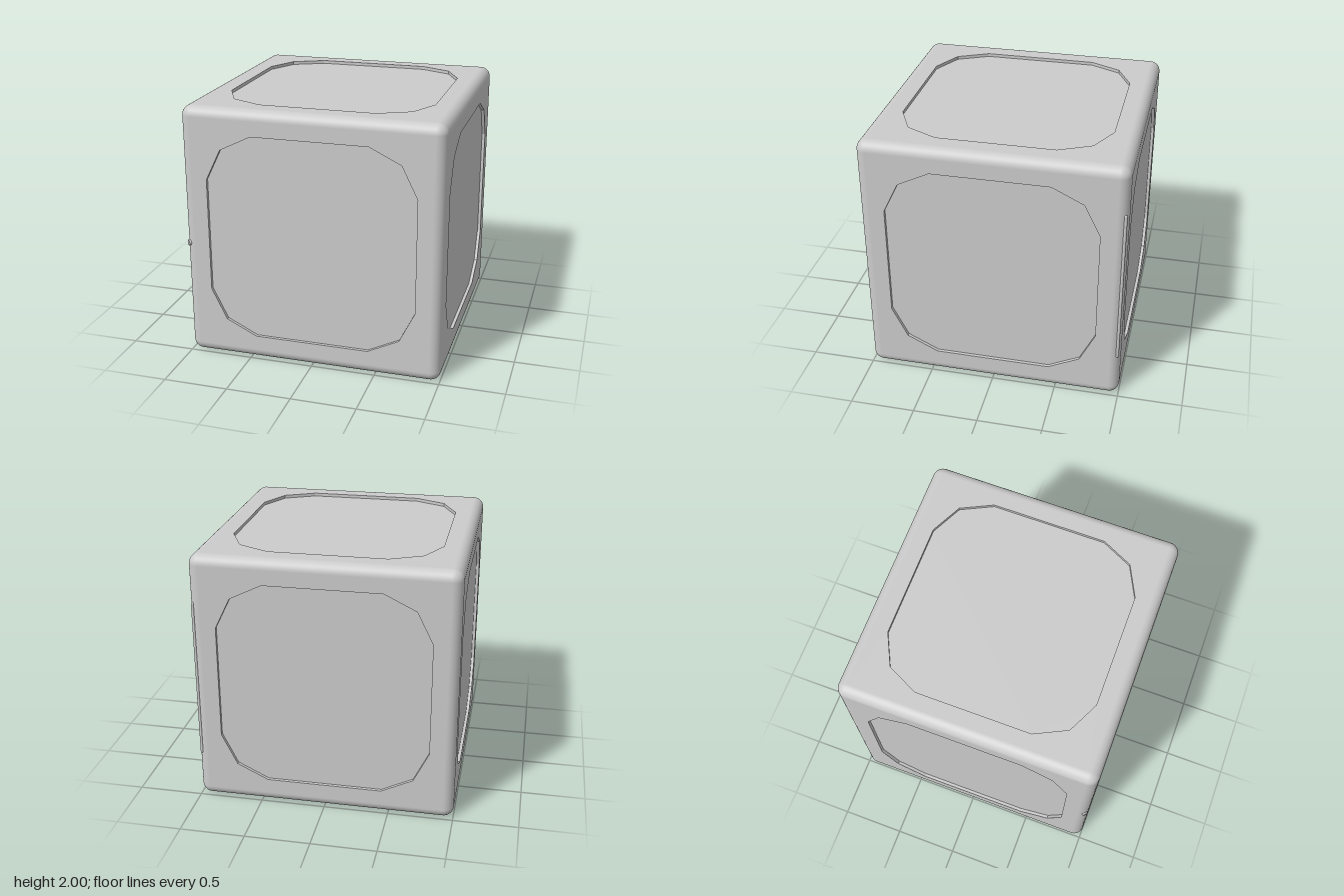
import * as THREE from 'three';
import { mergeGeometries } from 'three/addons/utils/BufferGeometryUtils.js';

const R = 0.08;        // edge rounding
const F = 1 - R;       // half width of the flat part of each face
const DEPTH = 0.025;   // depth of the panel recess
const HALF_PI = Math.PI / 2;

// Twelve-sided panel outline, one corner repeated by quarter turns
function panelPoints() {
  const corner = [[0.805, 0.445], [0.685, 0.688], [0.445, 0.805]];
  const points = [];
  for (let q = 0; q < 4; q++) {
    for (const [x, y] of corner) {
      points.push(new THREE.Vector2(x, y).rotateAround(new THREE.Vector2(), q * HALF_PI));
    }
  }
  return points;
}

// Rounded edges and corners of the cube
function roundedEdges() {
  const parts = [];
  for (let q = 0; q < 4; q++) {
    const edge = new THREE.CylinderGeometry(R, R, 2 * F, 10, 1, true, 0, HALF_PI)
      .translate(F, 0, F).rotateY(q * HALF_PI);
    parts.push(edge, edge.clone().rotateX(HALF_PI), edge.clone().rotateZ(HALF_PI));
    const corner = new THREE.SphereGeometry(R, 10, 10, HALF_PI, HALF_PI, 0, HALF_PI)
      .translate(F, F, F).rotateY(q * HALF_PI);
    parts.push(corner, corner.clone().rotateX(Math.PI));
  }
  return mergeGeometries(parts);
}

export function createModel() {
  const model = new THREE.Group();
  model.name = 'cube';
  const cube = new THREE.Group();
  cube.name = 'body';
  cube.position.y = 1;
  model.add(cube);
  const material = new THREE.MeshStandardMaterial({ color: 0xcccccc });

  const add = (name, geometry, parent = cube) => {
    const mesh = new THREE.Mesh(geometry, material);
    mesh.name = name;
    parent.add(mesh);
    return mesh;
  };

  add('roundedEdges', roundedEdges());

  // Face frame with a panel opening, and the panel sunk into it
  const frame = new THREE.Shape([[-F, -F], [F, -F], [F, F], [-F, F]].map(p => new THREE.Vector2(...p)));
  frame.holes.push(new THREE.Path(panelPoints()));
  const frameGeometry = new THREE.ExtrudeGeometry(frame, { depth: DEPTH, bevelEnabled: false })
    .translate(0, 0, 1 - DEPTH);
  const panelGeometry = new THREE.ShapeGeometry(new THREE.Shape(panelPoints()))
    .translate(0, 0, 1 - DEPTH);

  const faces = {
    front: [0, 0], left: [0, HALF_PI], back: [0, Math.PI],
    right: [0, -HALF_PI], top: [-HALF_PI, 0], bottom: [HALF_PI, 0],
  };
  for (const [name, [rx, ry]] of Object.entries(faces)) {
    const face = new THREE.Group();
    face.name = name + 'Face';
    face.rotation.set(rx, ry, 0);
    add(name + 'Frame', frameGeometry, face);
    add(name + 'Panel', panelGeometry, face);
    cube.add(face);
  }

  // Slim bar on one vertical edge, small button on the opposite one
  const mid = F + R * Math.SQRT1_2;
  const bar = add('edgeBar', new THREE.CapsuleGeometry(0.013, 1.24, 6, 12));
  bar.position.set(mid, 0, -mid);

  const button = add('edgeButton', new THREE.CylinderGeometry(0.022, 0.025, 0.024, 20).rotateX(HALF_PI));
  button.position.set(-mid, -0.085, mid);
  button.rotation.y = -Math.PI / 4;

  return model;
}
